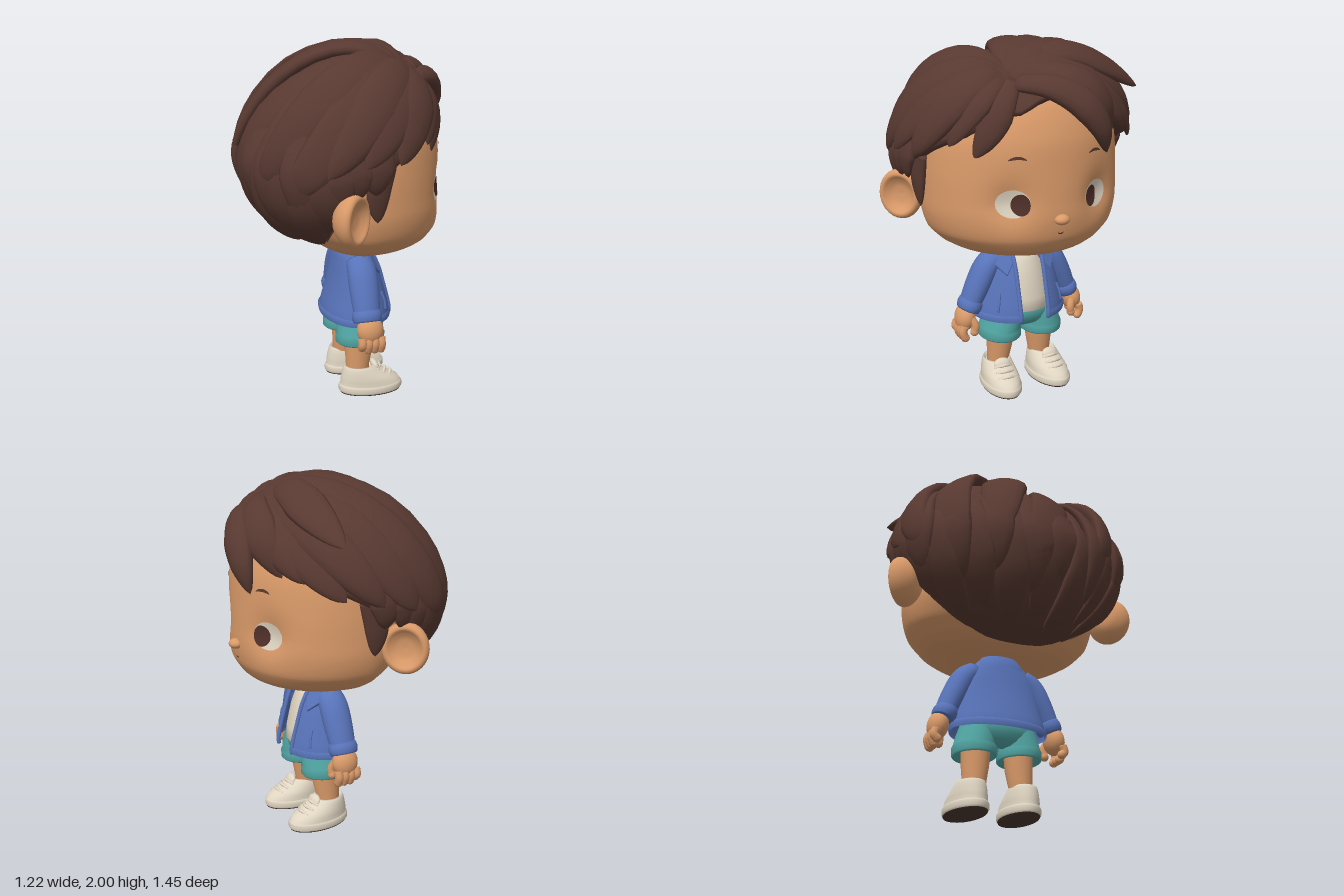
import * as THREE from 'three';

const V = (x, y, z) => new THREE.Vector3(x, y, z);
const RAD = Math.PI / 180;
const mat = (name, color, side = THREE.FrontSide) => {
  const m = new THREE.MeshStandardMaterial({ color, side });
  m.name = name;
  return m;
};

// Grid surface: fn(i, j) gives the point; columns may wrap round
function grid(rows, cols, fn, closed = true, flip = false) {
  const pos = [], idx = [], w = closed ? cols : cols + 1;
  for (let i = 0; i <= rows; i++) for (let j = 0; j < w; j++) pos.push(...fn(i, j).toArray());
  for (let i = 0; i < rows; i++) for (let j = 0; j < cols; j++) {
    const a = i * w + j, b = i * w + (j + 1) % w, c = b + w, d = a + w;
    idx.push(...(flip ? [a, c, b, a, d, c] : [a, b, c, a, c, d]));
  }
  const g = new THREE.BufferGeometry();
  g.setAttribute('position', new THREE.Float32BufferAttribute(pos, 3));
  g.setIndex(idx);
  g.computeVertexNormals();
  return g;
}

// Stacked rings, bottom to top: [y, rx, zFront, zBack, cx, cz]; gap leaves the front open
function loft(rows, gap = 0, cols = 40, shape = p => p) {
  return grid(rows.length - 1, cols, (i, j) => {
    const [y, rx, zf, zb, cx = 0, cz = 0] = rows[i];
    const a0 = gap ? Math.asin(Math.min(1, gap / rx)) : 0;
    const a = a0 + (2 * Math.PI - 2 * a0) * j / cols, c = Math.cos(a);
    return shape(V(cx + rx * Math.sin(a), y, cz + c * (c > 0 ? zf : zb)));
  }, !gap);
}

// Closed sweep with elliptical section; size(t) = [half width, half thickness]
function sweep(points, size, normalAt, rows = 22, cols = 14) {
  const curve = new THREE.CatmullRomCurve3(points);
  return grid(rows + 2, cols, (i, j) => {
    const t = Math.min(1, Math.max(0, (i - 1) / rows));
    const p = curve.getPoint(t), T = curve.getTangent(t);
    const B = T.clone().cross(normalAt(p)).normalize(), N = B.clone().cross(T);
    const [w, h] = i === 0 || i === rows + 2 ? [0, 0] : size(t);
    const a = 2 * Math.PI * j / cols;
    return p.addScaledVector(B, w * Math.cos(a)).addScaledVector(N, h * Math.sin(a));
  }, true, true);
}

// Head outline, smoothed: y, side radius, front depth, back depth
const headKeys = [[.868, .01, .01, .01], [.872, .28, .28, .13], [.89, .39, .39, .2], [.93, .46, .445, .26], [1, .527, .487, .33],
  [1.1, .557, .503, .4], [1.2, .562, .5, .43], [1.35, .56, .492, .45], [1.5, .545, .478, .45], [1.62, .5, .44, .42],
  [1.72, .42, .38, .36], [1.8, .28, .25, .25], [1.83, .01, .01, .01]];
const headRows = [];
headKeys.slice(0, -1).forEach((a, k) => {
  const p = headKeys[Math.max(0, k - 1)], b = headKeys[k + 1], q = headKeys[Math.min(headKeys.length - 1, k + 2)];
  for (let s = 0; s < 5; s++) {
    const t = s / 5, straight = k < 2 || k > 9;
    headRows.push(a.map((v, c) => {
      if (c === 0 || straight) return v + (b[c] - v) * t;
      const quad = 2 * p[c] - 5 * v + 4 * b[c] - q[c], cubic = 3 * v - p[c] - 3 * b[c] + q[c];
      return .5 * (2 * v + (b[c] - p[c]) * t + quad * t * t + cubic * t * t * t);
    }));
  }
});
headRows.push(headKeys[headKeys.length - 1]);
// Shallow eye sockets
const socket = (x, y) => .04 * Math.exp(-(((Math.abs(x) - .26) / .1) ** 2) - ((y - 1.2) / .11) ** 2);
function faceZ(x, y) {
  const k = headRows.findIndex(r => r[0] > y), a = headRows[k - 1], b = headRows[k];
  const t = (y - a[0]) / (b[0] - a[0]), rx = a[1] + (b[1] - a[1]) * t, zf = a[2] + (b[2] - a[2]) * t;
  return zf * Math.sqrt(1 - (x / rx) ** 2) - socket(x, y);
}
// Thin oval that follows the face; bend arches it
const facePatch = (cx, cy, rx, ry, off, bend = 0) => grid(8, 32, (i, j) => {
  const r = i / 8, a = 2 * Math.PI * j / 32, u = r * Math.cos(a);
  const x = cx + rx * u, y = cy + ry * r * Math.sin(a) - bend * u * u;
  return V(x, y, faceZ(x, y) + off);
}, true, true);

// Hair volume: point in a direction from the hair centre, with a groove at the parting
const hairCentre = V(0, 1.38, -.08);
function hairPoint(d) {
  const n = 2.5, h = Math.hypot(d.x, d.z) || 1e-6, up = Math.max(0, d.y);
  const k = d.z < 0 ? h / (Math.abs(d.x) ** n + Math.abs(d.z) ** n) ** (1 / n) : 1;
  const x = .64 * k * d.x;
  const part = -.06 * Math.exp(-(((x + .19) / .07) ** 2)) + .055 * Math.exp(-(((x + .46) / .16) ** 2));
  return V(x, 1.38 + d.y * (d.y > 0 ? .575 : .5) + up * part,
    -.1 + k * d.z * (d.z < 0 ? .47 : d.x < 0 ? .56 + .06 * d.x : .56) + up * .14);
}
const dir = (az, el) => V(Math.sin(az * RAD) * Math.cos(el * RAD), Math.sin(el * RAD), Math.cos(az * RAD) * Math.cos(el * RAD));
const outward = p => p.clone().sub(hairCentre).normalize();
const taper = (w, h, start = .3) => t => {
  const f = (start + (1 - start) * Math.min(1, t / .55)) * Math.max(0, 1 - t ** 3.2) ** .75;
  return [w * f, h * f];
};

export function createModel() {
  const hair = mat('hairBrown', 0x583931, THREE.DoubleSide), skin = mat('skin', 0xda9a69), cream = mat('cream', 0xe0d5c2);
  const blue = mat('jacketBlue', 0x5873b9, THREE.DoubleSide), teal = mat('shortsTeal', 0x51a6a4);
  const dark = mat('soleBrown', 0x4b392f), iris = mat('irisBrown', 0x51302a);
  const model = new THREE.Group(), body = new THREE.Group();
  model.name = 'boy';
  body.name = 'figure';
  body.rotation.y = Math.PI / 2;
  model.add(body);
  const add = (name, geo, m, parent = body) => {
    const mesh = new THREE.Mesh(geo, m);
    mesh.name = name;
    parent.add(mesh);
    return mesh;
  };
  const ball = (name, m, p, s, parent) => {
    const b = add(name, new THREE.SphereGeometry(1, 24, 16), m, parent);
    b.position.set(...p);
    b.scale.set(...s);
    return b;
  };
  const tube = (name, pts, r, m, parent) => add(name, sweep(pts, () => [r, r], () => V(.31, .2, .93), 20, 10), m, parent);

  // Head and face
  add('head', loft(headRows, 0, 104, p => p.z > 0 ? p.setZ(p.z - socket(p.x, p.y)) : p), skin);
  ball('nose', skin, [0, 1.11, .508], [.042, .028, .038]);
  add('mouth', facePatch(0, 1.032, .018, .004, .004, -.007), iris);
  add('neck', new THREE.CylinderGeometry(.075, .085, .16, 24), skin).position.set(0, .82, .03);
  for (const s of [-1, 1]) {
    add('eyeWhite', facePatch(s * .243, 1.203, .082, .074, .005), cream);
    add('iris', facePatch(s * .207, 1.198, .044, .057, .009), iris);
    add('eyebrow', facePatch(s * .225, 1.445, .045, .008, .005, .012), hair);
    // Ear: a thick dish with a rounded rim, turned half forward
    const prof = [[0, -.09], [.06, -.08], [.105, -.04], [.124, .005], [.118, .035], [.098, .045], [.075, .028], [.045, .012], [0, .006]];
    const curve = new THREE.SplineCurve(prof.map(p => new THREE.Vector2(...p)));
    const ear = add('ear', new THREE.LatheGeometry(curve.getPoints(32).map(p => p.set(Math.max(0, p.x), p.y)), 32), skin);
    ear.position.set(s * .62, 1.16, -.172);
    ear.scale.x = 1.12;
    ear.rotation.set(0, s > 0 ? -.75 : Math.PI + .75, -Math.PI / 2, 'YXZ');
  }

  // Hair cap, with its lower edge set by azimuth
  const edge = [[0, 39], [25, 30], [45, 15], [65, 7], [88, -5], [100, -12], [112, -45], [125, -78], [181, -82]];
  const edgeAt = az => {
    const a = Math.abs(az), k = edge.findIndex(e => e[0] > a), p = edge[k - 1], q = edge[k];
    return p[1] + (q[1] - p[1]) * (a - p[0]) / (q[0] - p[0]);
  };
  add('hairCap', grid(25, 72, (i, j) => {
    const az = j * 5 - 180, lo = edgeAt(az);
    const p = hairPoint(dir(az, lo + (90 - lo) * Math.max(0, i - 1) / 24));
    return i ? p : p.lerp(hairCentre, .17);
  }), hair);

  // Hair locks over the cap: start and end as [azimuth, elevation]; lift flares the tip
  const lock = (from, to, w, h, lift = 0) => {
    const a = dir(...from), b = dir(...to), pts = [];
    for (let k = 0; k <= 10; k++) {
      const p = hairPoint(a.clone().lerp(b, k / 10).normalize());
      pts.push(p.addScaledVector(outward(p), lift * (k / 10) ** 2));
    }
    add('hairLock', sweep(pts, taper(w, h), outward), hair);
  };
  const crown = [-31, 58];
  const upper = [[32, 24, .1], [47, 13, .13], [64, 5, .14], [82, 2, .14], [101, -2, .15], [121, -9, .15], [141, -16, .15], [159, -6, .15],
    [175, -18, .14], [209, -8, .15], [228, -12, .15], [247, 0, .14], [267, 4, .14], [288, 4, .14], [309, 10, .11]];
  upper.forEach(([az, el, w], k) => lock(crown, [az, el], w, k % 2 ? .062 : .046, .035));
  [[118, -26], [138, -36], [157, -28], [177, -38], [193, -26], [213, -36], [232, -28]]
    .forEach(([az, el]) => lock([az, 40], [az, el], .13, .05, .015));
  [[116, -42], [130, -56], [148, -50], [166, -62], [186, -54], [204, -62], [222, -50], [234, -56], [245, -40]]
    .forEach(([az, el], k) => lock([az, 20], [az, el], .12, k % 2 ? .045 : .035));
  for (const s of [-1, 1]) {
    [[106, -22], [96, -14], [84, -12]].forEach(([az, el]) => lock([s * az, 22], [s * az, el], .1, .04));
    add('sideburn', sweep([V(s * .58, 1.42, .02), V(s * .58, 1.28, -.02), V(s * .57, 1.12, -.02)], taper(.075, .03, .8), outward), hair);
  }
  // Fringe on both sides of the parting, and a lock jutting out to the left
  const fringe = (pts, w, h) => add('fringeLock', sweep(pts.map(p => V(...p)), taper(w, h, .45), outward), hair);
  fringe([[-.17, 1.8, .33], [-.04, 1.79, .45], [.1, 1.71, .52], [.2, 1.58, .545], [.25, 1.44, .525]], .1, .065);
  fringe([[-.12, 1.86, .3], [.08, 1.82, .42], [.25, 1.7, .45], [.36, 1.53, .4]], .12, .06);
  fringe([[-.18, 1.8, .3], [-.26, 1.73, .35], [-.33, 1.59, .36], [-.41, 1.43, .32]], .1, .05);
  fringe([[-.1, 1.9, .22], [.15, 1.93, .25], [.42, 1.83, .24], [.64, 1.71, .2]], .12, .05);

  // Shirt and shorts
  add('shirt', loft([[.475, .15, .17, .09], [.48, .185, .196, .1], [.55, .185, .192, .1], [.68, .16, .165, .08], [.76, .13, .14, .07], [.8, .1, .118, .06], [.805, .085, .1, .05], [.79, .06, .06, .04]]), cream);
  add('shortsSeat', loft([[.35, .02, .02, .02], [.358, .1, .09, .06], [.38, .18, .14, .09], [.41, .215, .168, .11], [.45, .215, .182, .12], [.5, .205, .18, .11], [.52, .1, .1, .05]]), teal);

  // Jacket shell, open at the front
  const coat = [[.435, .268, .232, .15], [.46, .272, .236, .155], [.52, .258, .226, .14], [.62, .235, .2, .11], [.72, .212, .172, .092], [.79, .185, .14, .08], [.84, .13, .115, .07], [.865, .1, .1, .06]];
  add('jacketBody', loft(coat, .085), blue);
  add('jacketHem', loft(coat.slice(0, 2).concat([[.475, .262, .23, .145]]).map(([y, rx, f, b]) => [y, rx + .008, f + .008, b + .008]), .09), blue);
  add('jacketCollar', loft([[.8, .15, .125, .09], [.83, .14, .12, .085], [.865, .11, .1, .07], [.885, .09, .09, .055], [.86, .075, .08, .04]], .07), blue);

  for (const s of [-1, 1]) {
    const x = v => s * v;
    tube('jacketEdge', coat.slice(0, 7).map(([y, rx, f]) => V(x(.087), y, f * Math.sqrt(1 - (.087 / rx) ** 2))), .012, blue);
    // Lapel
    const flap = new THREE.Shape([[.07, .875], [.14, .86], [.195, .79], [.14, .715], [.085, .79]].map(([a, b]) => new THREE.Vector2(x(a), b - .8)));
    const lapel = add('lapel', new THREE.ExtrudeGeometry(flap, { depth: .008, bevelSize: .008, bevelThickness: .008, bevelSegments: 3 }), blue);
    lapel.position.set(0, .8, .136);
    lapel.rotation.set(-.5, x(.35), 0);
    tube('pocketWelt', [V(x(.2), .5, .163), V(x(.192), .55, .158), V(x(.18), .6, .142)], .007, blue);
    // Sleeve and cuff
    const zAxis = () => V(0, 0, 1);
    add('sleeve', sweep([V(x(.14), .785, .02), V(x(.2), .735, .02), V(x(.255), .635, .018), V(x(.312), .51, .015)],
      t => [.058 + .012 * Math.sin(t * Math.PI), .072 + .012 * Math.sin(t * Math.PI)], zAxis, 20, 24), blue);
    add('cuff', sweep([V(x(.295), .545, .015), V(x(.308), .515, .015), V(x(.32), .485, .015)],
      t => [.061 + .008 * Math.sin(t * Math.PI), .077 + .008 * Math.sin(t * Math.PI)], zAxis, 8, 24), blue);
    // Hand
    const hand = new THREE.Group();
    hand.name = 'hand';
    hand.position.set(x(.345), .43, .022);
    hand.rotation.z = x(.15);
    hand.scale.setScalar(1.14);
    body.add(hand);
    ball('palm', skin, [0, .015, 0], [.05, .07, .066], hand);
    for (let k = 0; k < 4; k++) {
      const z = -.048 + k * .032, low = k === 0 ? -.065 : -.08;
      tube('finger', [V(x(.018), -.02, z), V(x(.022), -.05, z), V(x(.008), low, z)], .021, skin, hand);
      ball('fingertip', skin, [x(.006), low, z], [.022, .021, .02], hand);
    }
    tube('thumb', [V(x(-.015), .02, .045), V(x(-.035), -.015, .058), V(x(-.035), -.045, .056)], .02, skin, hand);
    ball('thumbTip', skin, [x(-.035), -.045, .056], [.021, .023, .021], hand);
    // Short leg with turned cuff
    const cx = x(.13);
    add('shortsLeg', loft([[.34, .08, .08, .08, cx, .025], [.305, .1, .125, .115, cx, .025], [.3, .112, .14, .125, cx, .025], [.31, .121, .15, .135, cx, .025],
      [.35, .122, .152, .135, cx, .025], [.362, .115, .144, .127, cx, .025], [.42, .113, .148, .127, x(.116), .025], [.5, .09, .13, .11, x(.11), .025]], 0, 32), teal);
    add('leg', loft([[.1, .063, .066, .066, x(.135), .018], [.16, .064, .068, .068, x(.133), .018], [.25, .075, .084, .076, x(.127), .022], [.36, .08, .088, .08, x(.125), .025]], 0, 28), skin);
    // Shoe
    const shoe = new THREE.Group();
    shoe.name = 'shoe';
    shoe.position.x = x(.148);
    shoe.rotation.y = x(.06);
    body.add(shoe);
    const ring = ([y, rx, rz, cz]) => [y, rx, rz, rz, 0, cz];
    add('outsole', loft([[0, .001, .001, .09], [0, .1, .178, .09], [.008, .104, .182, .09]].map(ring)), dark, shoe);
    add('shoeUpper', loft([[.006, .103, .181, .09], [.015, .109, .187, .09], [.04, .109, .187, .09], [.048, .104, .182, .09], [.052, .1, .177, .09], [.075, .101, .17, .083],
      [.1, .096, .148, .066], [.122, .09, .125, .048], [.145, .083, .105, .034], [.16, .076, .092, .028], [.163, .07, .084, .026], [.14, .058, .062, .02]].map(ring)), cream, shoe);
    ball('tongue', cream, [0, .15, .115], [.05, .035, .022], shoe).rotation.x = -.5;
    for (let k = 0; k < 3; k++) {
      const y = .145 - k * .021, z = .142 + k * .033;
      tube('lace', [V(-.052, y - .01, z - .022), V(0, y + .004, z), V(.052, y - .01, z - .022)], .009, cream, shoe);
    }
  }
  return model;
}
